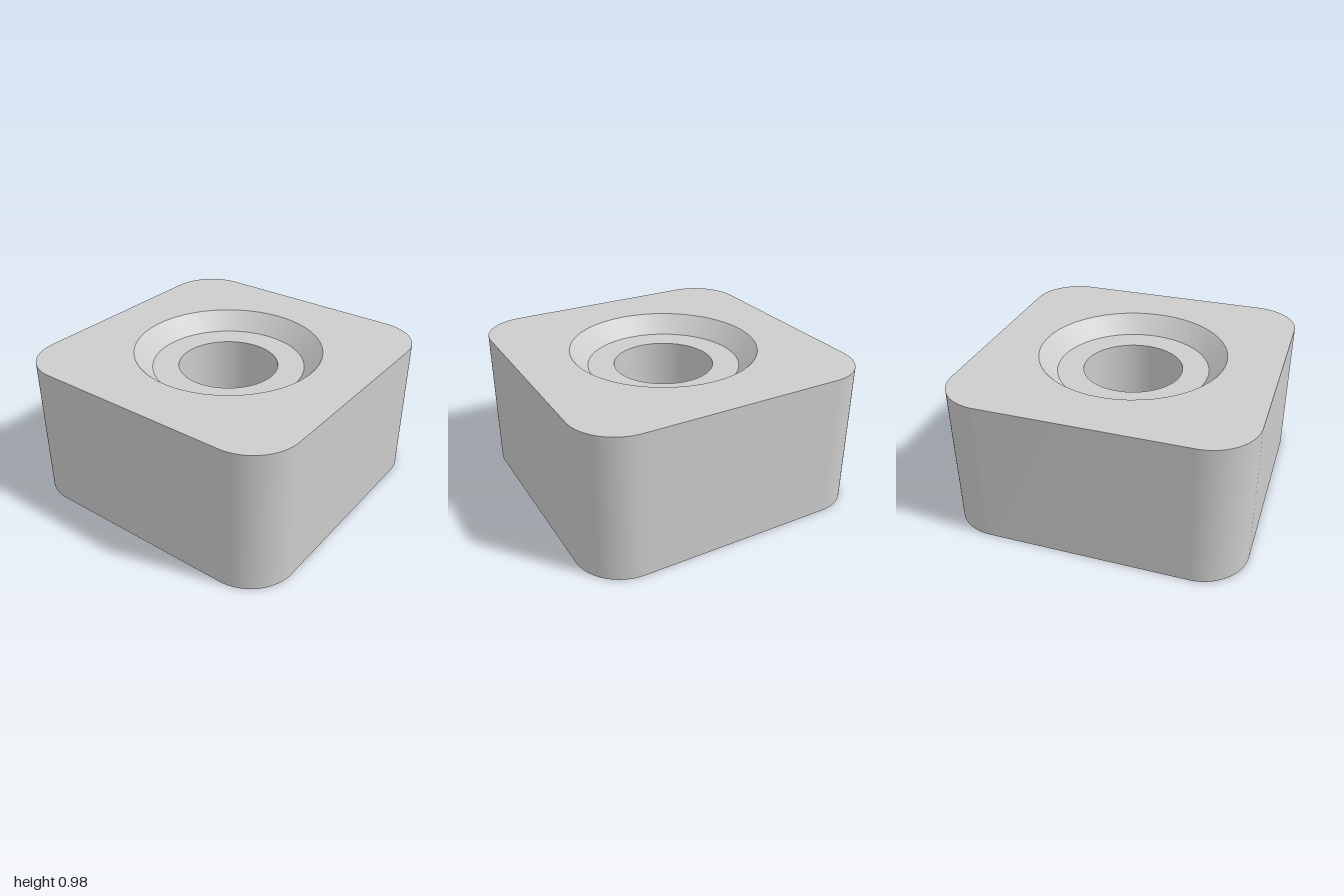
import * as THREE from 'three';
import { toCreasedNormals } from 'three/addons/utils/BufferGeometryUtils.js';

const HEIGHT = 0.98, CEILING = 0.74, RECESS_FLOOR = 0.86, BOSS_BOTTOM = 0.12;
const RIM_R = 0.64, BOSS_R = 0.52, BORE_R = 0.34;
const SEGMENTS = 96, CREASE = 0.5;

// Square outline with rounded corners, counter-clockwise
function roundedSquare(half, radius) {
  const c = half - radius, shape = new THREE.Shape();
  [[c, c], [-c, c], [-c, -c], [c, -c]].forEach(([x, y], i) => {
    shape.absarc(x, y, radius, i * Math.PI / 2, (i + 1) * Math.PI / 2, false);
  });
  shape.closePath();
  return shape;
}

function circlePath(radius) {
  return new THREE.Path().absarc(0, 0, radius, 0, Math.PI * 2, true);
}

// Upright strip along an outline; faces outward when y0 < y1, inward otherwise
function wall(shape, y0, y1) {
  const points = shape.getPoints(20), positions = [];
  points.forEach((a, i) => {
    const b = points[(i + 1) % points.length];
    if (a.distanceTo(b) < 1e-6) return;
    positions.push(
      a.x, y0, -a.y, b.x, y0, -b.y, b.x, y1, -b.y,
      a.x, y0, -a.y, b.x, y1, -b.y, a.x, y1, -a.y);
  });
  const geometry = new THREE.BufferGeometry();
  geometry.setAttribute('position', new THREE.Float32BufferAttribute(positions, 3));
  return toCreasedNormals(geometry, CREASE);
}

// Flat face with a hole, facing up or down
function plate(shape, hole, y, up) {
  shape.holes.push(hole);
  return new THREE.ShapeGeometry(shape, SEGMENTS / 4)
    .rotateX(up ? -Math.PI / 2 : Math.PI / 2)
    .translate(0, y, 0);
}

export function createModel() {
  const model = new THREE.Group();
  model.name = 'squareFoot';
  const grey = new THREE.MeshStandardMaterial({ color: 0xcccccc });
  grey.name = 'lightGrey';

  const add = (name, geometry) => {
    const mesh = new THREE.Mesh(geometry, grey);
    mesh.name = name;
    model.add(mesh);
    return mesh;
  };
  const outer = () => roundedSquare(1, 0.32);
  const inner = () => roundedSquare(0.77, 0.09);

  // Hollow block
  add('outerWall', wall(outer(), 0, HEIGHT));
  add('cavityWall', wall(inner(), CEILING, 0));
  add('topFace', plate(outer(), circlePath(RIM_R), HEIGHT, true));
  add('bottomRim', plate(outer(), inner(), 0, false));
  add('cavityCeiling', plate(inner(), circlePath(BOSS_R), CEILING, false));

  // Bevelled recess, bore and hanging boss in one turned profile
  const profile = [
    [RIM_R, HEIGHT], [BOSS_R, RECESS_FLOOR], [BORE_R, RECESS_FLOOR],
    [BORE_R, BOSS_BOTTOM], [BOSS_R, BOSS_BOTTOM], [BOSS_R, CEILING],
  ].map(([r, y]) => new THREE.Vector2(r, y));
  add('recessAndBoss', toCreasedNormals(new THREE.LatheGeometry(profile, SEGMENTS), CREASE));

  // Four ribs joining the boss to the cavity walls
  const ribStart = 0.51, ribEnd = 0.78, ribTop = CEILING + 0.02;
  for (let i = 0; i < 4; i++) {
    const rib = new THREE.BoxGeometry(ribEnd - ribStart, ribTop - BOSS_BOTTOM, 0.18)
      .translate((ribStart + ribEnd) / 2, (ribTop + BOSS_BOTTOM) / 2, 0);
    add('rib', rib).rotation.y = i * Math.PI / 2;
  }
  return model;
}
